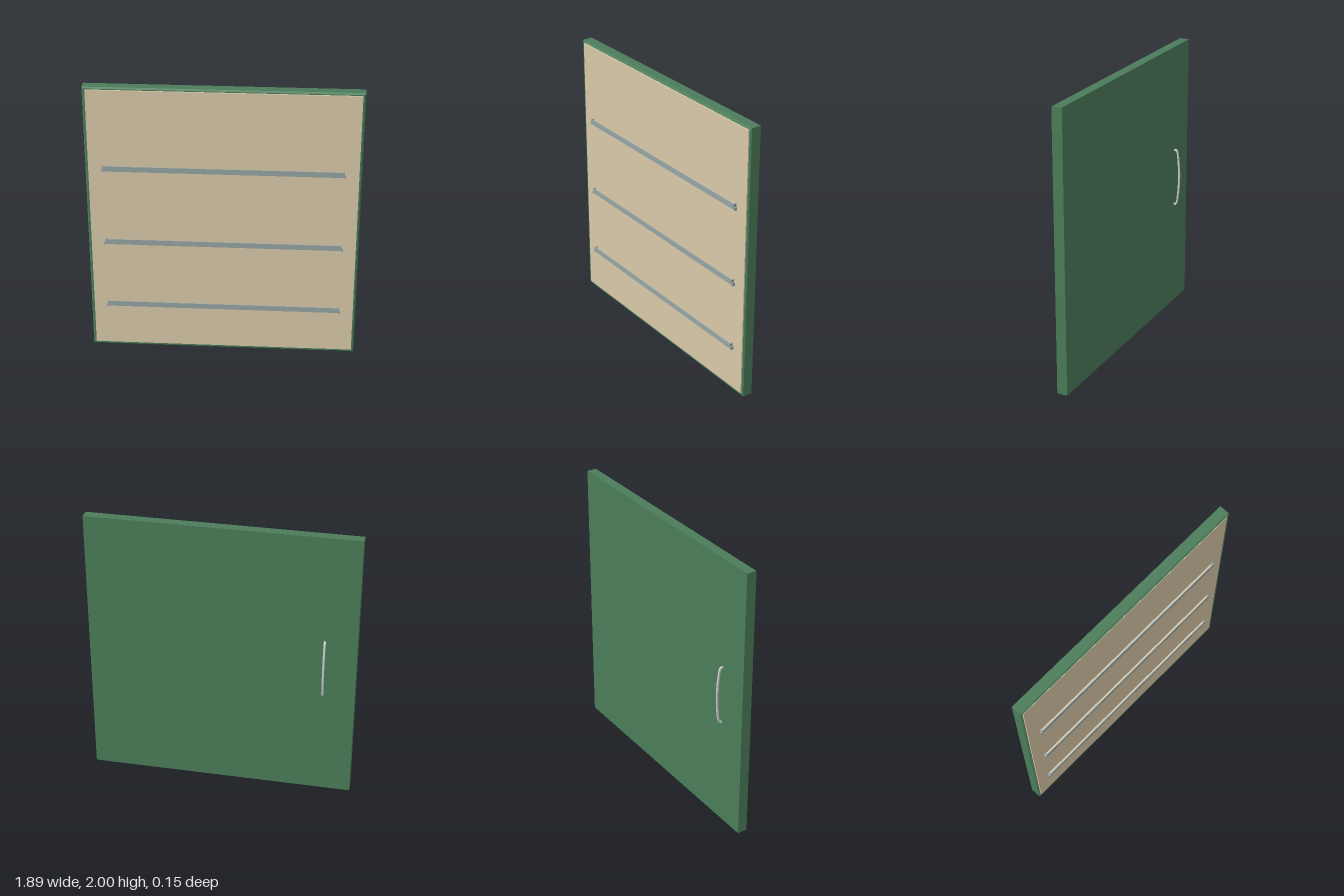
import * as THREE from 'three';

const mat = (color) => new THREE.MeshStandardMaterial({ color });
const GREEN = mat(0x4a7c59), BEIGE = mat(0xd9c9a8), STEEL = mat(0x96a5a5), GREY = mat(0xcccccc);

function add(parent, name, geometry, material, x = 0, y = 0, z = 0) {
  const mesh = new THREE.Mesh(geometry, material);
  mesh.name = name;
  mesh.position.set(x, y, z);
  parent.add(mesh);
  return mesh;
}

// Box given by its lower and upper corners
function block(parent, name, material, [x0, y0, z0], [x1, y1, z1]) {
  return add(parent, name, new THREE.BoxGeometry(x1 - x0, y1 - y0, z1 - z0), material,
    (x0 + x1) / 2, (y0 + y1) / 2, (z0 + z1) / 2);
}

// Solid slab whose front edges are chamfered
function chamferedSlab(w, h, z0, z1, cut) {
  const g = new THREE.BoxGeometry(w, h, z1 - z0 - cut).toNonIndexed();
  g.translate(0, 0, (z0 + z1 - cut) / 2);
  const front = new THREE.CylinderGeometry(Math.SQRT1_2, Math.SQRT1_2, cut, 4, 1, true, Math.PI / 4).toNonIndexed();
  front.rotateX(Math.PI / 2);
  const p = front.attributes.position;
  for (let i = 0; i < p.count; i++) {
    const inset = p.getZ(i) > 0 ? cut * 2 : 0;
    p.setXYZ(i, Math.sign(p.getX(i)) * (w - inset) / 2, Math.sign(p.getY(i)) * (h - inset) / 2, p.getZ(i) + z1 - cut / 2);
  }
  front.computeVertexNormals();
  return [g, front];
}

// Curved pull handle, drawn in depth and height, extruded sideways
function handleGeometry(width) {
  const s = new THREE.Shape();
  s.moveTo(0, -0.218);
  s.lineTo(0.012, -0.218);
  s.quadraticCurveTo(0.026, -0.216, 0.032, -0.185);
  s.quadraticCurveTo(0.061, 0, 0.032, 0.185);
  s.quadraticCurveTo(0.026, 0.216, 0.012, 0.218);
  s.lineTo(0, 0.218);
  s.lineTo(0, 0.206);
  s.lineTo(0.01, 0.206);
  s.quadraticCurveTo(0.018, 0.204, 0.022, 0.183);
  s.quadraticCurveTo(0.047, 0, 0.022, -0.183);
  s.quadraticCurveTo(0.018, -0.204, 0.01, -0.206);
  s.lineTo(0, -0.206);
  s.closePath();
  const g = new THREE.ExtrudeGeometry(s, { depth: width, bevelEnabled: false, curveSegments: 12 });
  g.translate(0, 0, -width / 2);
  g.rotateY(Math.PI / 2); // profile depth now points to the back
  return g;
}

export function createModel() {
  const model = new THREE.Group();
  model.name = 'door';

  // Door leaf with chamfered front rim
  const leaf = new THREE.Group();
  leaf.name = 'doorLeaf';
  model.add(leaf);
  const [body, rim] = chamferedSlab(1.89, 2, -0.026, 0.054, 0.01);
  add(leaf, 'doorBody', body, GREEN, 0, 1, 0);
  add(leaf, 'doorRim', rim, GREEN, 0, 1, 0).material.side = THREE.DoubleSide;

  // Lining panel on the inside face
  block(model, 'liningPanel', BEIGE, [-0.925, 0.02, 0.03], [0.925, 1.98, 0.054]);

  // Narrow door racks: ledge, front strip and end caps
  for (const y of [0.33, 0.83, 1.39]) {
    const rack = new THREE.Group();
    rack.name = 'doorRack';
    rack.position.y = y;
    model.add(rack);
    block(rack, 'rackLedge', BEIGE, [-0.833, 0, 0.052], [0.833, 0.02, 0.073]);
    block(rack, 'rackStrip', STEEL, [-0.825, 0.006, 0.07], [0.825, 0.044, 0.076]);
    for (const side of [-1, 1]) {
      const cap = block(rack, 'rackEndCap', STEEL, [-0.005, 0, 0.052], [0.005, 0.022, 0.075]);
      cap.position.x = side * 0.83;
      const post = block(rack, 'rackEndPost', STEEL, [-0.004, 0.02, 0.052], [0.004, 0.044, 0.074]);
      post.position.x = side * 0.821;
    }
  }

  // Pull handle on the outside face
  add(model, 'pullHandle', handleGeometry(0.014), GREY, -0.722, 1.007, -0.026);
  return model;
}
